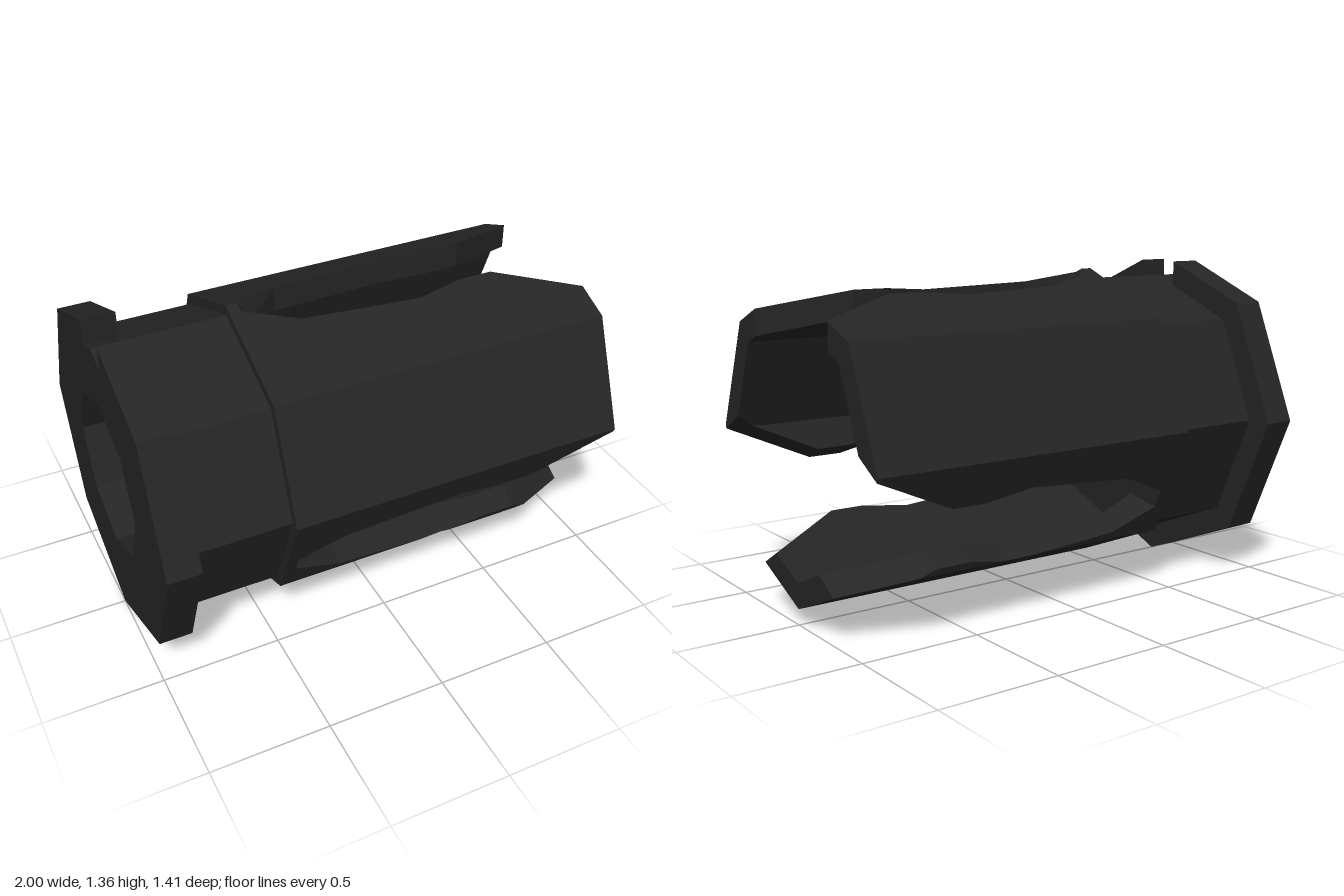
import * as THREE from 'three';

const AXIS_Y = 0.703, R_BODY = 0.638, R_CAVITY = 0.53, R_NECK = 0.595, R_FLANGE = 0.703, R_BORE = 0.345;
const rad = (d) => (d * Math.PI) / 180;
const dir = (deg) => [Math.cos(rad(deg)), Math.sin(rad(deg))]; // (z, y) around the x axis
const dot = (a, b) => a[0] * b[0] + a[1] * b[1];
const octagon = (r) => Array.from({ length: 8 }, (_, k) => dir(k * 45).map((c) => c * r));

// Point on an octagon of radius r, at offset h from the centre line of a slot
function edgePoint(r, slot, h) {
  const u = dir(slot), t = dir(slot + 90), apothem = r * Math.cos(Math.PI / 8);
  let rho = Infinity;
  for (let k = 0; k < 8; k++) {
    const n = dir(22.5 + k * 45);
    if (dot(u, n) > 0.01) rho = Math.min(rho, (apothem - h * dot(t, n)) / dot(u, n));
  }
  return [u[0] * rho + t[0] * h, u[1] * rho + t[1] * h];
}

// Octagon run from slot a (offset ha) to slot b (offset hb), corners clamped to the cuts
function run(r, a, ha, b, hb) {
  const start = edgePoint(r, a, ha), end = edgePoint(r, b, hb), pts = [start];
  const lo = a === b ? a - 10 : a, hi = a === b ? b + 10 : b;
  for (let d = Math.ceil(lo / 45) * 45; d < hi; d += 45) {
    if (d <= lo) continue;
    const v = dir(d).map((c) => c * r);
    if (dot(v, dir(a + 90)) < ha) pts.push(start);
    else if (dot(v, dir(b + 90)) > hb) pts.push(end);
    else pts.push(v);
  }
  pts.push(end);
  return pts;
}

// Curved wall lofted through sections { outer, inner, xo, xi }
function loftWall(sections) {
  const pos = [];
  const rings = sections.map((s) => [
    ...s.outer.map((p) => new THREE.Vector3(s.xo, p[1], p[0])),
    ...s.inner.map((p) => new THREE.Vector3(s.xi, p[1], p[0])).reverse(),
  ]);
  const tri = (...p) => {
    if (new THREE.Triangle(...p).getArea() > 1e-7) p.forEach((v) => pos.push(v.x, v.y, v.z));
  };
  const quad = (a, b, c, d) => { tri(a, b, c); tri(a, c, d); };
  const m = rings[0].length, n = m / 2, last = rings[rings.length - 1];
  for (let s = 0; s < rings.length - 1; s++) {
    for (let i = 0; i < m; i++) {
      const j = (i + 1) % m;
      quad(rings[s][i], rings[s + 1][i], rings[s + 1][j], rings[s][j]);
    }
  }
  for (let i = 0; i < n - 1; i++) {
    const f = rings[0];
    quad(f[i], f[i + 1], f[m - 2 - i], f[m - 1 - i]);
    quad(last[m - 1 - i], last[m - 2 - i], last[i + 1], last[i]);
  }
  const g = new THREE.BufferGeometry();
  g.setAttribute('position', new THREE.Float32BufferAttribute(pos, 3));
  g.computeVertexNormals();
  return g;
}

// Outline with an octagonal hole, extruded along x
function extrudeRing(outline, holeRadius, x0, x1) {
  const shape = new THREE.Shape(outline.map((p) => new THREE.Vector2(...p)));
  shape.holes.push(new THREE.Path(octagon(holeRadius).map((p) => new THREE.Vector2(...p))));
  const g = new THREE.ExtrudeGeometry(shape, { depth: x1 - x0, bevelEnabled: false });
  return g.rotateY(Math.PI / 2).translate(x0, 0, 0);
}

export function createModel() {
  const group = new THREE.Group();
  const metal = new THREE.MeshStandardMaterial({ color: 0x252525 });
  metal.name = 'blackMetal';
  metal.flatShading = true;
  const add = (name, geometry) => {
    const mesh = new THREE.Mesh(geometry, metal);
    mesh.name = name;
    mesh.position.y = AXIS_Y;
    group.add(mesh);
  };

  // Rear flange with a notch at the top
  const w = 0.103, slope = Math.tan(Math.PI / 8);
  const flange = octagon(R_FLANGE);
  flange.splice(2, 1,
    [w, R_FLANGE - w * slope], [w, R_NECK - w * slope], [0, R_NECK],
    [-w, R_NECK - w * slope], [-w, R_FLANGE - w * slope]);
  add('flange', extrudeRing(flange, R_BORE, -1, -0.863));

  // Neck: narrow bore, then the wide cavity
  add('neck', extrudeRing(octagon(R_NECK), R_BORE, -0.863, -0.6));
  add('neckFront', extrudeRing(octagon(R_NECK), R_CAVITY, -0.6, -0.46));

  // Slot half width along x
  const profile = [[-0.2, 0.133], [0.3, 0.172], [0.5, 0.135], [0.65, 0.135], [1, 0.302]];
  const steps = [[-0.46, -0.46, 0.04], [-0.41, -0.35, 0.04]];
  profile.forEach(([x, h], i) => {
    const [px, ph] = i ? profile[i - 1] : [x, h];
    const count = i ? 5 : 1;
    for (let k = 1; k <= count; k++) {
      const t = k / count, xx = px + (x - px) * t;
      steps.push([xx, xx, ph + (h - ph) * t]);
    }
  });

  // Three prongs, and the bridges closing each slot at the back
  [-30, 90, 210].forEach((slot, i) => {
    const next = slot + 120;
    add('prong' + (i + 1), loftWall(steps.map(([xo, xi, h]) => ({
      xo, xi,
      outer: run(R_BODY, slot, h, next, -h),
      inner: run(R_CAVITY, slot, h, next, -h),
    }))));
    // The top bridge has a corner on its outer and inner face
    add('slotEnd' + (i + 1), loftWall(steps.slice(0, 2).map(([xo, xi, h]) => {
      const arc = (r) => [edgePoint(r, slot, -h), edgePoint(r, slot, 0), edgePoint(r, slot, h)];
      return { xo, xi, outer: arc(R_BODY), inner: arc(R_CAVITY) };
    })));
  });
  return group;
}
